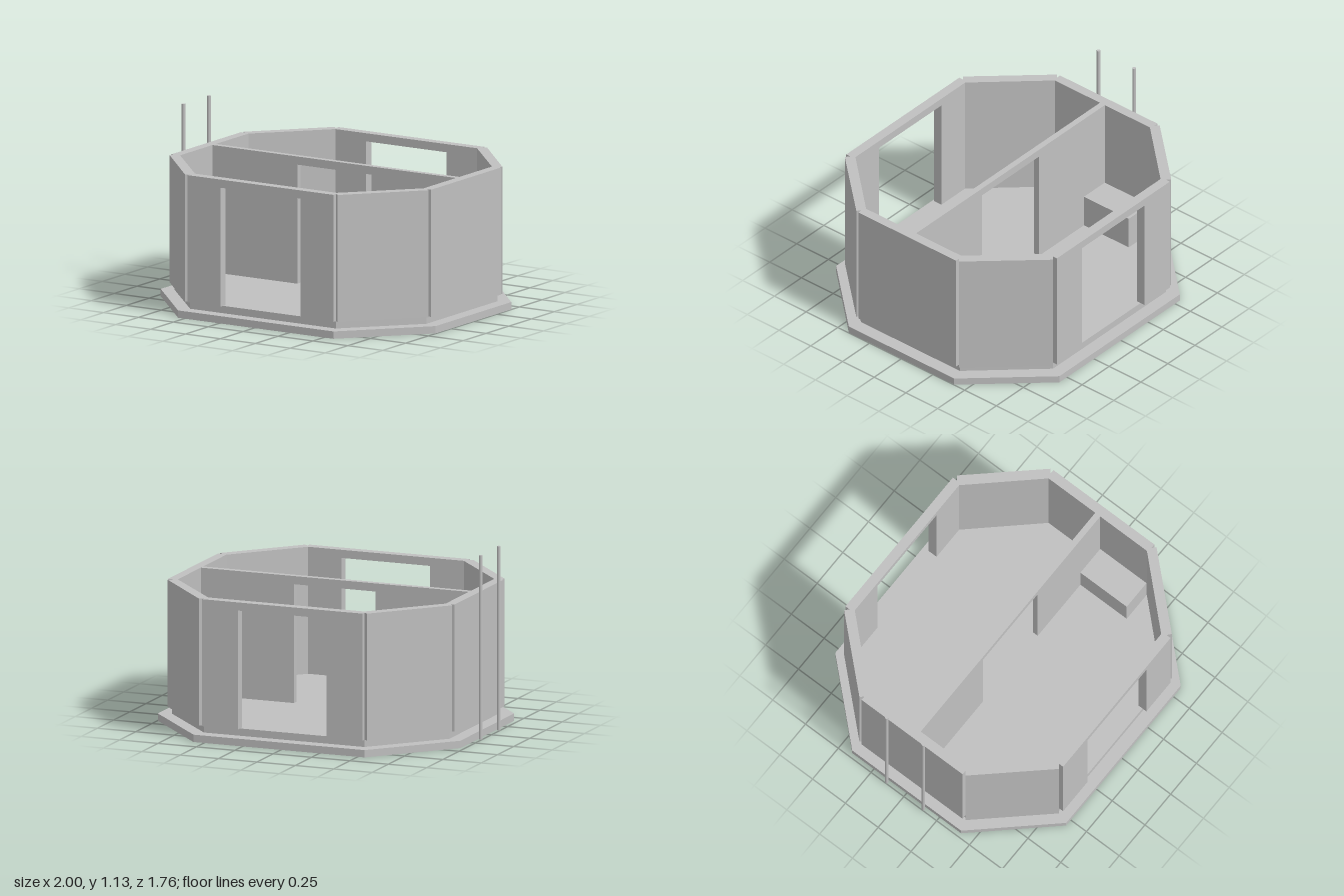
import * as THREE from 'three';

const FLOOR = 0.09, TOP = 0.87, DOOR_TOP = 0.82;

export function createModel() {
  const model = new THREE.Group();
  model.name = 'octagonalRoom';
  const grey = new THREE.MeshStandardMaterial({ color: 0xc0c0c0 });
  grey.name = 'plainGrey';

  // the building sits slightly off centre because the poles stand on one side
  const building = new THREE.Group();
  building.name = 'building';
  building.position.x = 0.0125;
  model.add(building);

  const add = (name, geometry, parent = building) => {
    const mesh = new THREE.Mesh(geometry, grey);
    mesh.name = name;
    parent.add(mesh);
    return mesh;
  };

  // solid raised from a plan outline given as [x, z] points
  const fromPlan = (points, y0, y1) => {
    const shape = new THREE.Shape(points.map(([x, z]) => new THREE.Vector2(x, -z)));
    return new THREE.ExtrudeGeometry(shape, { depth: y1 - y0, bevelEnabled: false })
      .rotateX(-Math.PI / 2).translate(0, y0, 0);
  };

  const box = (x0, x1, y0, y1, z0, z1) =>
    new THREE.BoxGeometry(x1 - x0, y1 - y0, z1 - z0)
      .translate((x0 + x1) / 2, (y0 + y1) / 2, (z0 + z1) / 2);

  // octagon reaching X and Z, with its corners at cx and cz
  const octagon = (X, Z, cx, cz) => [
    [X, -cz], [X, cz], [cx, Z], [-cx, Z], [-X, cz], [-X, -cz], [-cx, -Z], [cx, -Z],
  ];

  // upright wall along x with a doorway open at the floor
  const doorWall = (half, door, thickness) => {
    const shape = new THREE.Shape([
      [-half, FLOOR], [-door, FLOOR], [-door, DOOR_TOP], [door, DOOR_TOP],
      [door, FLOOR], [half, FLOOR], [half, TOP], [-half, TOP],
    ].map(([x, y]) => new THREE.Vector2(x, y)));
    return new THREE.ExtrudeGeometry(shape, { depth: thickness, bevelEnabled: false })
      .translate(0, 0, -thickness / 2);
  };

  // stepped base
  add('basePlate', fromPlan(octagon(0.985, 0.88, 0.557, 0.415), 0, 0.045));
  add('floorStep', fromPlan(octagon(0.9025, 0.8, 0.5225, 0.39), 0.045, FLOOR));

  // front and back walls with doorways
  add('frontWall', doorWall(0.5225, 0.2875, 0.06)).position.z = 0.8;
  add('backWall', doorWall(0.5225, 0.2875, 0.06)).position.z = -0.8;

  // dividing wall with a narrower doorway
  add('partition', doorWall(0.8725, 0.265, 0.038));

  // side walls
  add('leftWall', box(0.8725, 0.9325, FLOOR, TOP, -0.385, 0.385));
  add('rightWall', box(-0.9325, -0.8725, FLOOR, TOP, -0.385, 0.385));

  // slanted corner walls, grooved where they meet the straight ones
  const corner = [
    [0.5075, 0.77], [0.5225, 0.8], [0.5475, 0.82],
    [0.9275, 0.405], [0.9025, 0.385], [0.8725, 0.375],
  ];
  for (const [sx, sz, name] of [
    [1, 1, 'frontLeftWall'], [-1, 1, 'frontRightWall'],
    [1, -1, 'backLeftWall'], [-1, -1, 'backRightWall'],
  ]) {
    add(name, fromPlan(corner.map(([x, z]) => [x * sx, z * sz]), FLOOR, TOP));
  }

  // one bench in each room, at opposite ends
  add('frontBench', box(0.68, 0.8725, FLOOR, 0.3, 0.019, 0.372));
  add('backBench', box(-0.8725, -0.68, FLOOR, 0.3, -0.372, -0.019));

  // two free-standing poles
  for (const z of [0.14, -0.14]) {
    add('pole', new THREE.CylinderGeometry(0.011, 0.011, 1.13, 12), model)
      .position.set(-0.989, 0.565, z);
  }

  return model;
}
